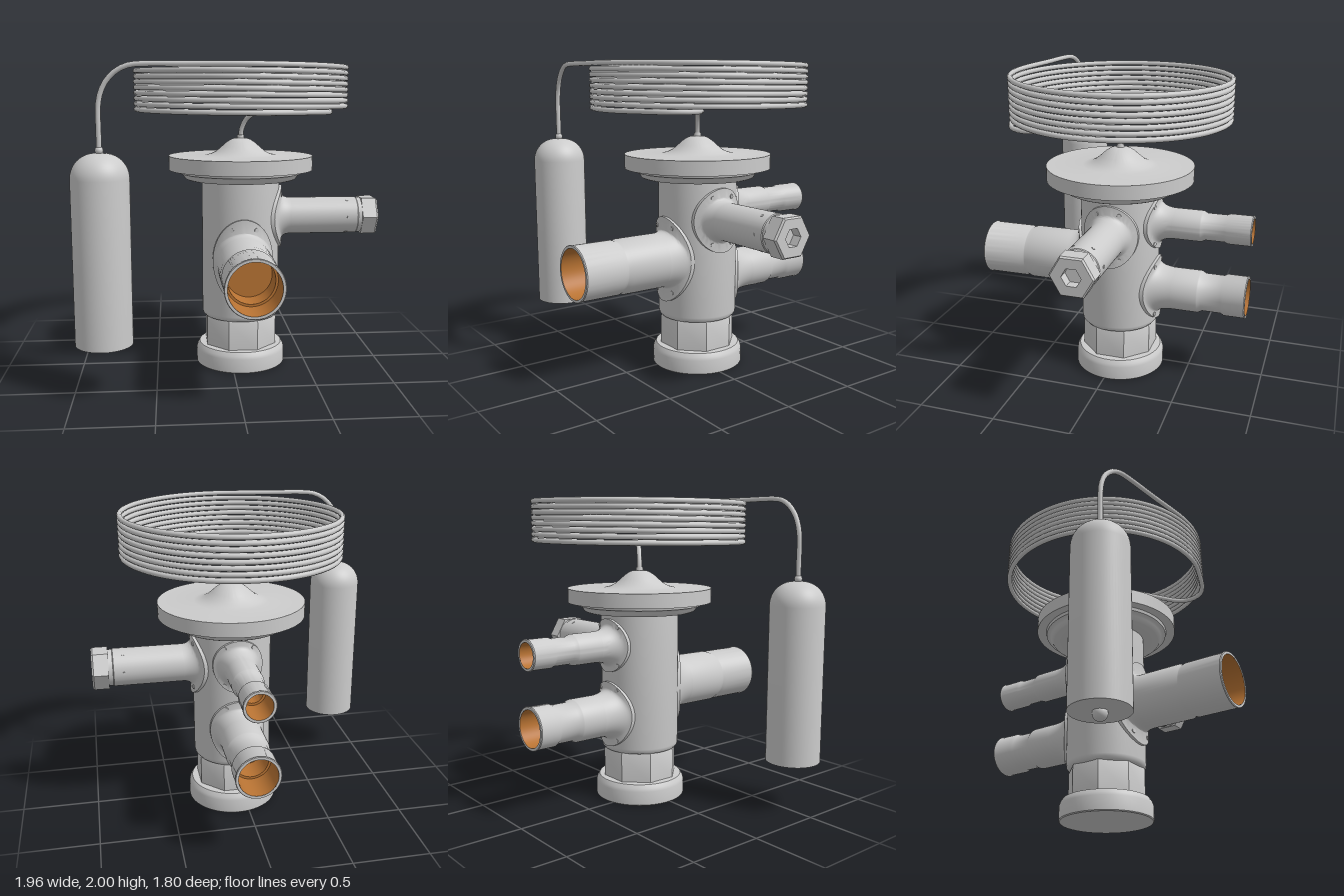
import * as THREE from 'three';
import { toCreasedNormals } from 'three/addons/utils/BufferGeometryUtils.js';

const grey = new THREE.MeshStandardMaterial({ color: 0xcccccc });
const copper = new THREE.MeshStandardMaterial({ color: 0xb87333 });
const AX = 0.065, AZ = -0.025; // valve axis
const BODY_R = 0.257;

function mesh(name, geometry, material = grey) {
  const m = new THREE.Mesh(geometry, material);
  m.name = name;
  return m;
}

// Turned part around y; few sides give nuts
function turned(name, pts, sides = 64, start = 0, material = grey) {
  const g = new THREE.LatheGeometry(pts.map(p => new THREE.Vector2(...p)), sides, start);
  return mesh(name, toCreasedNormals(g, 0.6), material);
}

// Turned part around z
function turnedZ(...args) {
  const m = turned(...args);
  m.geometry.rotateX(Math.PI / 2);
  return m;
}

// Oval pad wrapped on the body, with a fillet running into a round pipe
function saddle(halfW, halfH, r, flare, end) {
  const N = 64, F = 8, padR = BODY_R + 0.018, pos = [], idx = [];
  const rings = [];
  const onBody = (R, u) => Math.sqrt(R * R - u * u);
  rings.push(t => [halfW * Math.cos(t), halfH * Math.sin(t), BODY_R - 0.02]);
  rings.push(t => [halfW * Math.cos(t), halfH * Math.sin(t), padR]);
  for (let k = 0; k <= F; k++) {
    const a = (k / F) * Math.PI / 2;
    rings.push(t => {
      const rad = r + flare * (1 - Math.sin(a));
      return [rad * Math.cos(t), rad * Math.sin(t), padR, 1 - Math.cos(a)];
    });
  }
  rings.forEach((ring, k) => {
    for (let i = 0; i <= N; i++) {
      const [u, v, R, s = 0] = ring((i / N) * Math.PI * 2);
      const w = onBody(R, u);
      pos.push(u, v, w + (end - w) * s);
      if (k < rings.length - 1 && i < N) {
        const a = k * (N + 1) + i, b = a + N + 1;
        idx.push(a, a + 1, b, a + 1, b + 1, b);
      }
    }
  });
  const g = new THREE.BufferGeometry();
  g.setAttribute('position', new THREE.Float32BufferAttribute(pos, 3));
  g.setIndex(idx);
  return mesh('saddleFlange', toCreasedNormals(g, 0.6));
}

// Branch group: local +z points away from the valve axis
function branch(name, y, turn, pad, screwU, screwV) {
  const g = new THREE.Group();
  g.name = name;
  g.position.set(AX, y, AZ);
  g.rotation.y = turn;
  g.add(saddle(...pad));
  for (const su of [-1, 1]) for (const sv of [-1, 1]) {
    const s = mesh('flangeScrew', new THREE.CylinderGeometry(0.014, 0.014, 0.03, 12).rotateX(Math.PI / 2));
    const a = Math.asin(screwU / (BODY_R + 0.018)) * su;
    s.position.set(su * screwU, sv * screwV, (BODY_R + 0.007) * Math.cos(a));
    s.rotation.y = a;
    g.add(s);
  }
  return g;
}

// Stepped pipe with rolled lip and copper bore: r1 to z1, r2 to z2, r3 to the end
function addPipe(g, start, r1, z1, r2, z2, r3, end) {
  const bore = r3 - 0.016;
  g.add(turnedZ('pipe', [
    [r1, start], [r1, z1], [r1 - 0.002, z1 + 0.008], [r2, z1 + 0.03], [r2, z2 - 0.02],
    [r3, z2], [r3, end - 0.012], [r3 + 0.004, end - 0.006], [r3, end], [bore, end]]));
  g.add(turnedZ('copperBore', [
    [bore, end], [bore, end - 0.2], [bore - 0.015, end - 0.2],
    [bore - 0.015, end - 0.36], [0, end - 0.36]], 48, 0, copper));
}

export function createModel() {
  const model = new THREE.Group();
  model.name = 'expansionValve';

  // Valve column
  const column = new THREE.Group();
  column.name = 'valveColumn';
  column.position.set(AX, 0, AZ);
  column.add(turned('baseCap', [
    [0, 0], [0.292, 0], [0.298, 0.006], [0.298, 0.095], [0.292, 0.115], [0.277, 0.138], [0.2, 0.14], [0, 0.14]]));
  const c = 1 / Math.cos(Math.PI / 8);
  column.add(turned('octagonNut', [
    [0, 0.135], [0.23 * c, 0.135], [0.23 * c, 0.325], [0.222 * c, 0.342], [0, 0.342]], 8, Math.PI / 8));
  column.add(turned('body', [
    [0, 0.33], [0.225, 0.33], [0.243, 0.336], [0.254, 0.35], [BODY_R, 0.368], [BODY_R, 1.28]]));
  column.add(turned('diaphragmHead', [
    [0.2, 1.255], [0.355, 1.255], [0.368, 1.262], [0.38, 1.28], [0.39, 1.292], [0.41, 1.298], [0.415, 1.318],
    [0.475, 1.318], [0.475, 1.41], [0.24, 1.41], [0.2, 1.418], [0.16, 1.438], [0.125, 1.468],
    [0.095, 1.495], [0.065, 1.514], [0.04, 1.523], [0, 1.525]], 96));
  model.add(column);

  // Pipe branches: one large in front, two at the back
  const outlet = branch('frontPipe', 0.738, 0, [0.197, 0.28, 0.176, 0.018, 0.33], 0.077, 0.212);
  addPipe(outlet, 0.32, 0.176, 0.6, 0.166, 0.655, 0.173, 0.925);
  const upper = branch('upperBackPipe', 1.047, Math.PI, [0.16, 0.175, 0.1, 0.045, 0.37], 0.09, 0.125);
  addPipe(upper, 0.365, 0.1, 0.545, 0.087, 0.72, 0.096, 0.872);
  const lower = branch('lowerBackPipe', 0.59, Math.PI, [0.18, 0.217, 0.139, 0.035, 0.38], 0.08, 0.168);
  addPipe(lower, 0.375, 0.139, 0.545, 0.124, 0.72, 0.136, 0.86);

  // Adjusting stem on the left side, ending in a hex plug with a socket
  const stem = branch('adjustingStem', 1.002, Math.PI / 2, [0.18, 0.208, 0.122, 0.03, 0.33], 0.071, 0.15);
  stem.add(turnedZ('stemTube', [[0.122, 0.32], [0.122, 0.775], [0.117, 0.78], [0.117, 0.808], [0, 0.808]]));
  stem.add(turnedZ('hexPlug', [
    [0, 0.806], [0.138, 0.806], [0.138, 0.9], [0.128, 0.912], [0.06, 0.912], [0.06, 0.85], [0, 0.85]], 6, Math.PI / 6));
  for (let i = 0; i < 6; i++) {
    const a = (i + 0.5) * Math.PI / 3;
    const pin = mesh('stemPin', new THREE.CylinderGeometry(0.01, 0.01, 0.02, 10));
    pin.position.set(-0.115 * Math.sin(a), 0.115 * Math.cos(a), 0.71);
    pin.rotation.z = a;
    stem.add(pin);
  }
  model.add(outlet, upper, lower, stem);

  // Sensing bulb
  const bulb = new THREE.Group();
  bulb.name = 'sensingBulb';
  bulb.position.set(-0.81, 0, 0.535);
  const profile = [[0, 0.325], [0.174, 0.325]];
  for (let i = 0; i <= 12; i++) {
    const a = (i / 12) * Math.PI / 2;
    profile.push([0.024 + 0.15 * Math.cos(a), 1.325 + 0.15 * Math.sin(a)]);
  }
  profile.push([0, 1.475]);
  bulb.add(turned('bulbShell', profile));
  for (const [n, r, y] of [['bulbTip', 0.043, 0.313], ['bulbCollar', 0.025, 1.49]]) {
    const s = mesh(n, new THREE.SphereGeometry(r, 24, 16));
    s.position.y = y;
    bulb.add(s);
  }
  model.add(bulb);

  // Capillary tube: bulb, eight coils, then down into the head
  const path = [
    [-0.81, 1.48, 0.535], [-0.81, 1.6, 0.535], [-0.81, 1.73, 0.535], [-0.8, 1.8, 0.536], [-0.765, 1.88, 0.541],
    [-0.7, 1.945, 0.55], [-0.63, 1.976, 0.56], [-0.56, 1.983, 0.569], [-0.3, 1.983, 0.605]];
  const turns = 8, steps = 32 * turns;
  for (let i = 0; i <= steps; i++) {
    const s = i / steps, a = -0.1 + s * (Math.PI * 2 * turns + 0.25);
    path.push([AX + 0.682 * Math.sin(a), 1.983 - 0.277 * s, -0.032 + 0.682 * Math.cos(a)]);
  }
  path.push([0.32, 1.706, 0.595], [0.46, 1.706, 0.54], [0.53, 1.706, 0.49], [0.565, 1.706, 0.42], [0.56, 1.706, 0.35],
    [0.515, 1.706, 0.285], [0.44, 1.706, 0.23], [0.22, 1.703, 0.08], [0.16, 1.692, 0.04], [0.105, 1.655, 0.003],
    [0.073, 1.59, -0.02], [AX, 1.54, AZ], [AX, 1.5, AZ]);
  const curve = new THREE.CatmullRomCurve3(path.map(p => new THREE.Vector3(...p)), false, 'centripetal');
  curve.arcLengthDivisions = 2400;
  model.add(mesh('capillaryTube', new THREE.TubeGeometry(curve, 900, 0.0165, 10)));
  const ferrule = mesh('ferrule', new THREE.CylinderGeometry(0.022, 0.026, 0.03, 20));
  ferrule.position.set(AX, 1.53, AZ);
  model.add(ferrule);

  return model;
}
